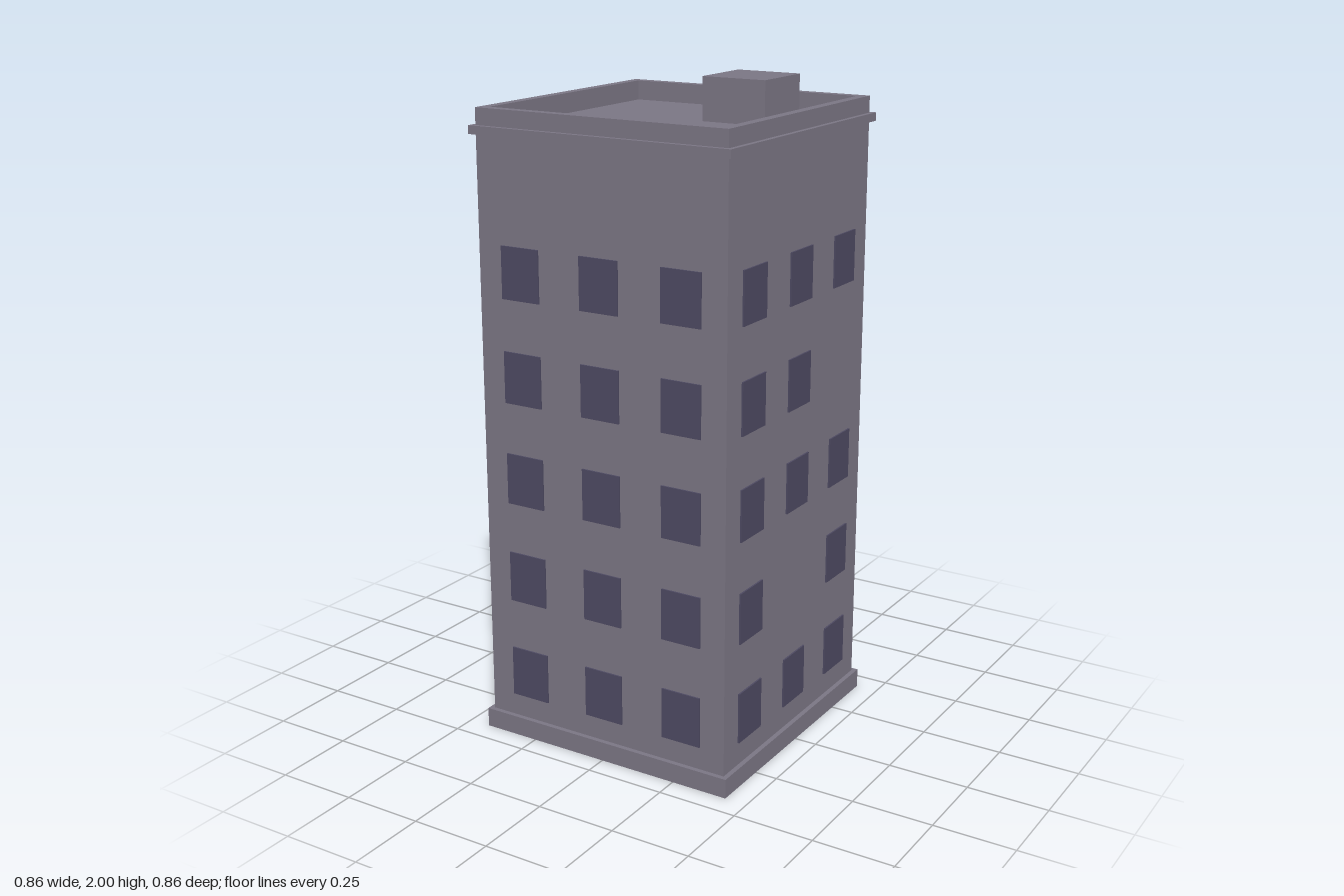
import * as THREE from 'three';

export function createModel() {
  const model = new THREE.Group();
  model.name = 'towerBlock';

  const wall = new THREE.MeshStandardMaterial({ color: 0x7a7583 });
  wall.name = 'wall grey';
  const glass = new THREE.MeshStandardMaterial({ color: 0x4d4961 });
  glass.name = 'window dark';

  function box(name, w, h, d, x, y, z, material = wall, parent = model) {
    const mesh = new THREE.Mesh(new THREE.BoxGeometry(w, h, d), material);
    mesh.name = name;
    mesh.position.set(x, y, z);
    parent.add(mesh);
    return mesh;
  }

  // Square ring lying flat, from y upwards
  function ring(name, outer, inner, y, height) {
    const square = (Type, r) => new Type([[-r, -r], [r, -r], [r, r], [-r, r]].map(([a, b]) => new THREE.Vector2(a, b)));
    const shape = square(THREE.Shape, outer);
    shape.holes.push(square(THREE.Path, inner));
    const geometry = new THREE.ExtrudeGeometry(shape, { depth: height, bevelEnabled: false });
    geometry.rotateX(-Math.PI / 2);
    const mesh = new THREE.Mesh(geometry, wall);
    mesh.name = name;
    mesh.position.y = y;
    model.add(mesh);
  }

  // Plinth, walls up to the roof deck, ledge and parapet
  box('plinth', 0.86, 0.06, 0.86, 0, 0.03, 0);
  box('body', 0.83, 1.81, 0.83, 0, 0.965, 0);
  ring('parapet', 0.415, 0.385, 1.87, 0.06);
  ring('ledge', 0.43, 0.415, 1.855, 0.025);

  // Stair housing on the roof
  box('roofHousing', 0.208, 0.13, 0.208, 0.156, 1.935, -0.158);

  // Windows: [name, turn about y, missing "row,column" as seen facing the wall]
  const sides = [
    ['frontWindows', 0, []],
    ['leftWindows', Math.PI / 2, ['1,1', '3,2']],
    ['backWindows', Math.PI, ['2,2']],
    ['rightWindows', -Math.PI / 2, []],
  ];
  for (const [name, turn, missing] of sides) {
    const group = new THREE.Group();
    group.name = name;
    group.rotation.y = turn;
    for (let row = 0; row < 5; row++) {
      for (let col = 0; col < 3; col++) {
        if (missing.includes(`${row},${col}`)) continue;
        box('window', 0.129, 0.157, 0.009, (col - 1) * 0.27, 0.21 + row * 0.3135, 0.4155, glass, group);
      }
    }
    model.add(group);
  }
  return model;
}
